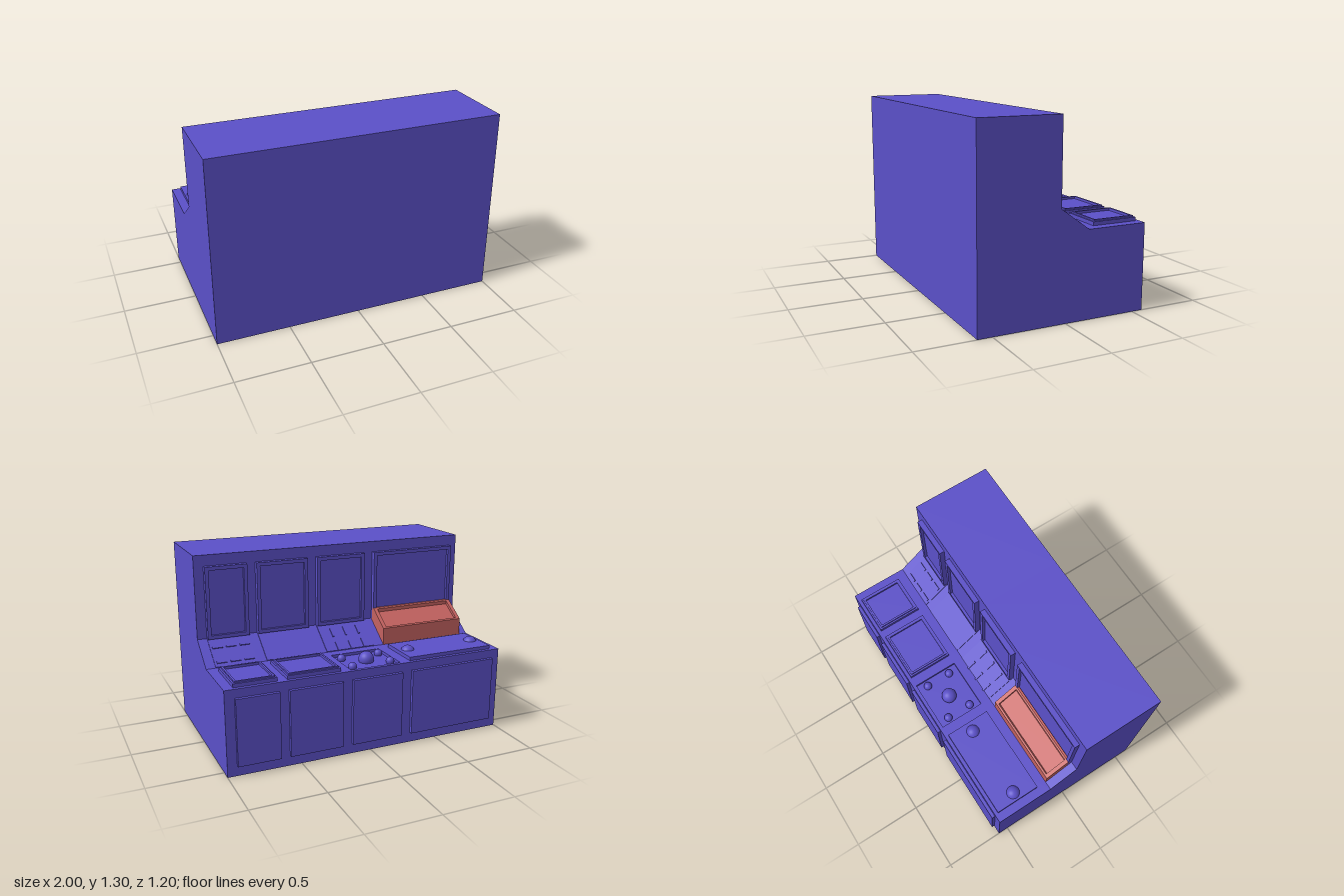
import * as THREE from 'three';

const blue = new THREE.MeshStandardMaterial({ color: 0x5b50c8 });
const red = new THREE.MeshStandardMaterial({ color: 0xc46260 });

// Columns of the console: [x start, x end]
const COLUMNS = [[-0.94, -0.3], [-0.225, 0.14], [0.21, 0.58], [0.645, 0.935]];
const FRONT = { z: -0.575, y: 0.298 };
const SLOPE = Math.atan2(-0.2, -0.145);

export function createModel() {
  const model = new THREE.Group();
  model.name = 'controlConsole';

  function add(name, geometry, material = blue, parent = model) {
    const mesh = new THREE.Mesh(geometry, material);
    mesh.name = name;
    parent.add(mesh);
    return mesh;
  }

  // Side profile of [z, y] points swept from x0 to x1
  function sweep(name, points, x0, x1, material) {
    const shape = new THREE.Shape(points.map(([z, y]) => new THREE.Vector2(-z, y)));
    const geo = new THREE.ExtrudeGeometry(shape, { depth: x1 - x0, bevelEnabled: false });
    geo.rotateY(Math.PI / 2).translate(x0, 0, 0);
    return add(name, geo, material);
  }

  // Group whose local +z points out of the surface; x stays the same
  function mount(name, y, z, angle) {
    const group = new THREE.Group();
    group.name = name;
    group.position.set(0, y, z);
    group.rotation.x = angle;
    model.add(group);
    return group;
  }

  function slab(name, parent, [x0, x1], h, depth, base = 0, y = 0) {
    const mesh = add(name, new THREE.BoxGeometry(x1 - x0, h, depth), blue, parent);
    mesh.position.set((x0 + x1) / 2, y, base + depth / 2);
    return mesh;
  }

  function frame(name, parent, [x0, x1], h, depth, border, base = 0) {
    const rect = (Path, w, k) => new Path().moveTo(-w / 2, -k / 2)
      .lineTo(w / 2, -k / 2).lineTo(w / 2, k / 2).lineTo(-w / 2, k / 2).closePath();
    const w = x1 - x0;
    const shape = rect(THREE.Shape, w, h);
    shape.holes.push(rect(THREE.Path, w - 2 * border, h - 2 * border));
    const geo = new THREE.ExtrudeGeometry(shape, { depth, bevelEnabled: false });
    add(name, geo, blue, parent).position.set((x0 + x1) / 2, 0, base);
  }

  // Body, with a shallow well in the desk at the second column
  const lower = [[-0.575, 0.585], [-0.575, 0], [0.6, 0]];
  const upper = [[0.6, 1.3], [0.04, 1.3], [0.04, 0.73], [-0.16, 0.585]];
  const well = [[-0.23, 0.585], [-0.23, 0.565], [-0.55, 0.565], [-0.55, 0.585]];
  const [wellStart, wellEnd] = COLUMNS[1];
  sweep('bodyRight', [...lower, ...upper], -1, wellStart);
  sweep('bodyWell', [...lower, ...upper, ...well], wellStart, wellEnd);
  sweep('bodyLeft', [...lower, ...upper], wellEnd, 1);

  // Wall screens and lower door panels
  const wall = mount('wallScreens', 0.978, 0.04, Math.PI);
  const doors = mount('doorPanels', FRONT.y, FRONT.z, Math.PI);
  for (const column of COLUMNS) {
    slab('screen', wall, column, 0.49, 0.016);
    frame('screenFrame', wall, column, 0.495, 0.036, 0.025);
    slab('doorPanel', doors, column, 0.455, 0.023);
  }

  // Desk: a plain plate on one side, two stepped screens on the other
  const desk = mount('desk', 0.585, -0.39, -Math.PI / 2);
  slab('knobPlate', desk, COLUMNS[0], 0.32, 0.025);
  for (const [x0, x1] of COLUMNS.slice(2)) {
    frame('deskScreenBase', desk, [x0, x1], 0.32, 0.025, 0.025);
    frame('deskScreenRim', desk, [x0 + 0.012, x1 - 0.012], 0.296, 0.01, 0.014, 0.025);
    slab('deskScreen', desk, [x0 + 0.01, x1 - 0.01], 0.3, 0.018);
  }

  // Round knobs: [x, z, radius, height]
  const knobs = [[-0.88, -0.39, 0.05, 0.59], [-0.37, -0.39, 0.05, 0.59], [-0.05, -0.39, 0.053, 0.585]];
  for (const x of [-0.185, 0.095]) for (const z of [-0.48, -0.302]) knobs.push([x, z, 0.029, 0.58]);
  for (const [x, z, r, y] of knobs) {
    add('knob', new THREE.SphereGeometry(r, 24, 16)).position.set(x, y, z);
  }

  // Sloped plates with rows of slim switches
  const slope = mount('slopedPanels', 0.6575, -0.06, SLOPE);
  for (const column of COLUMNS.slice(1)) slab('slopedPlate', slope, column, 0.243, 0.006);
  for (const y of [-0.035, 0.088]) {
    for (const x of [0.695, 0.79, 0.885]) {
      slab('flatSwitch', slope, [x - 0.035, x + 0.035], 0.015, 0.007, 0.006, y);
    }
    for (const x of [-0.15, -0.05, 0.05]) {
      slab('uprightSwitch', slope, [x - 0.006, x + 0.006], 0.075, 0.007, 0.006, y);
    }
  }

  // Red raised tray with a recessed top
  const trayBase = [[0.04, 0.73], [0.02, 0.815], [0.005, 0.815]];
  const trayFront = [[-0.16, 0.705], [-0.16, 0.585]];
  const recess = [[-0.005, 0.808], [-0.005, 0.784], [-0.137, 0.696], [-0.148, 0.713]];
  const [t0, t1] = COLUMNS[0];
  sweep('trayRightEnd', [...trayBase, ...trayFront], t0, t0 + 0.028, red);
  sweep('trayMiddle', [...trayBase, ...recess, ...trayFront], t0 + 0.028, t1 - 0.028, red);
  sweep('trayLeftEnd', [...trayBase, ...trayFront], t1 - 0.028, t1, red);

  return model;
}
